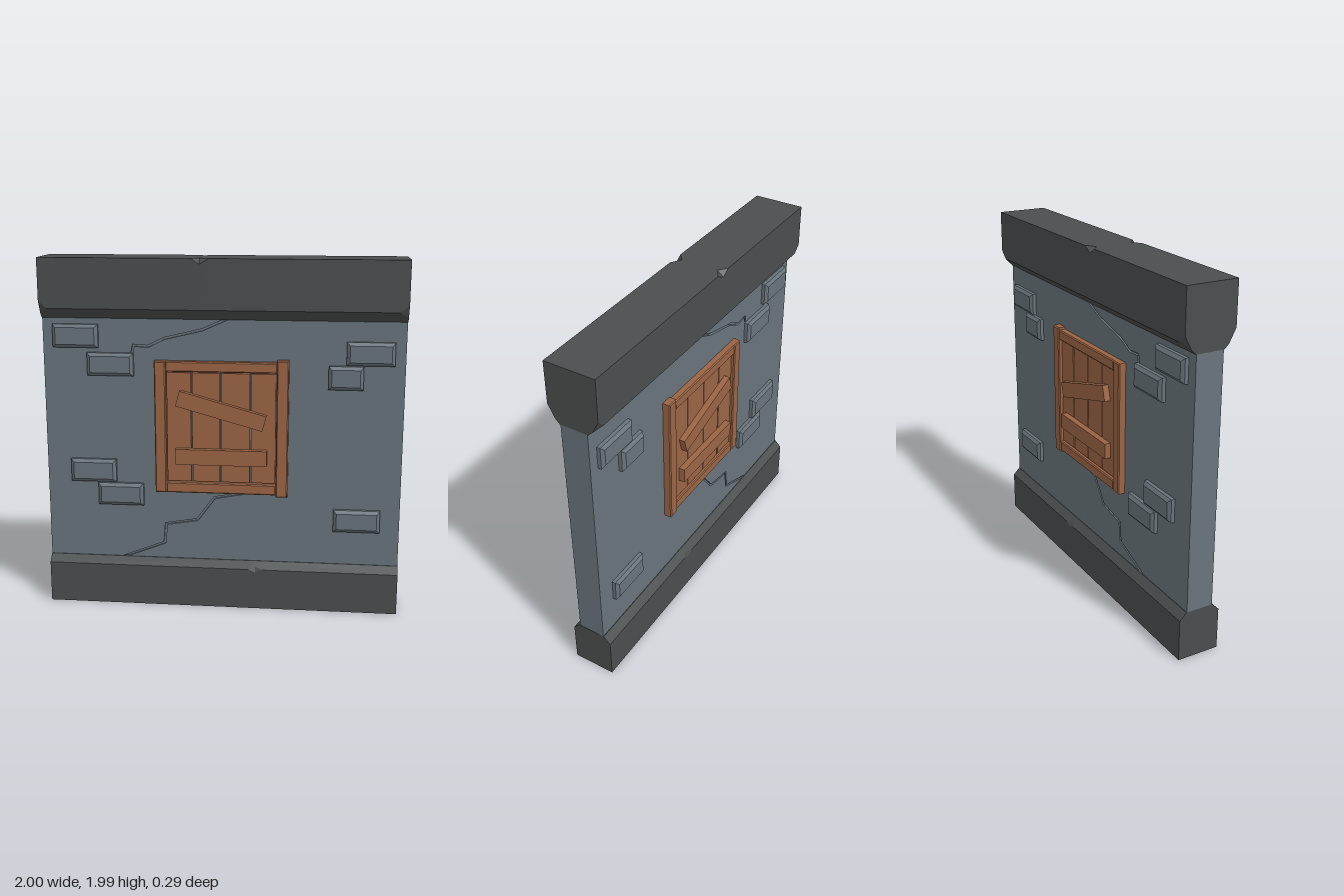
import * as THREE from 'three';
import { ConvexGeometry } from 'three/addons/geometries/ConvexGeometry.js';

const mat = (name, color, side = THREE.FrontSide) => {
  const m = new THREE.MeshStandardMaterial({ color, side });
  m.name = name;
  return m;
};

export function createModel() {
  const model = new THREE.Group();
  model.name = 'boardedWindowWall';
  const wallStone = mat('blueGreyStone', 0x68747b);
  const darkStone = mat('darkStone', 0x4a4e4e, THREE.DoubleSide);
  const wood = mat('wood', 0x9b6444);

  const add = (parent, name, geometry, material) => {
    const mesh = new THREE.Mesh(geometry, material);
    mesh.name = name;
    parent.add(mesh);
    return mesh;
  };
  const group = (name) => {
    const g = new THREE.Group();
    g.name = name;
    model.add(g);
    return g;
  };

  // Convex solid from corner points, optionally leaving out some faces
  const hull = (points, drop) => {
    const geo = new ConvexGeometry(points.map((p) => new THREE.Vector3(...p)));
    if (!drop) return geo;
    const p = geo.attributes.position;
    const kept = [];
    for (let i = 0; i < p.count; i += 3) {
      const tri = [0, 1, 2].map((k) => new THREE.Vector3().fromBufferAttribute(p, i + k));
      if (!tri.every(drop)) kept.push(...tri);
    }
    const open = new THREE.BufferGeometry().setFromPoints(kept);
    open.computeVertexNormals();
    return open;
  };

  // Block standing on the wall face, with its front edges bevelled
  const bevelBlock = (x0, x1, y0, y1, z, inset, depth, side) => {
    const pts = [];
    for (const [d, zz] of [[0, 0.07], [0, z - depth], [inset, z]])
      for (const x of [x0 + d, x1 - d])
        for (const y of [y0 + d, y1 - d]) pts.push([x, y, zz * side]);
    return hull(pts);
  };

  // Outline of a crack: a narrow band along a polyline
  const crackPath = (pts, half) => {
    const v = pts.map((p) => new THREE.Vector2(...p));
    const a = [], b = [];
    v.forEach((p, i) => {
      const normal = (s, e) => {
        const d = e.clone().sub(s).normalize();
        return new THREE.Vector2(-d.y, d.x);
      };
      const n0 = normal(v[Math.max(i - 1, 0)], v[Math.max(i, 1)]);
      const n1 = normal(v[Math.min(i, v.length - 2)], v[Math.min(i + 1, v.length - 1)]);
      const n = n0.clone().add(n1).normalize();
      n.multiplyScalar(half / Math.max(n.dot(n0), 0.5));
      a.push(p.clone().add(n));
      b.unshift(p.clone().sub(n));
    });
    return new THREE.Path([...a, ...b]);
  };

  // Wall: a core with a cut skin on each face, so the cracks are grooves
  const wall = group('wall');
  const core = add(wall, 'wallCore', new THREE.BoxGeometry(1.998, 1.45, 0.126), wallStone);
  core.position.y = 0.975;
  const skin = new THREE.Shape([[-0.999, 0.25], [0.999, 0.25], [0.999, 1.7], [-0.999, 1.7]]
    .map((p) => new THREE.Vector2(...p)));
  skin.holes.push(
    crackPath([[0.07, 1.68], [-0.11, 1.6], [-0.32, 1.55], [-0.41, 1.505], [-0.49, 1.51], [-0.505, 1.45]], 0.006),
    crackPath([[0.22, 0.7], [0.15, 0.68], [-0.04, 0.645], [-0.14, 0.51], [-0.32, 0.48], [-0.33, 0.365], [-0.6, 0.26]], 0.006),
  );
  const skinGeo = new THREE.ExtrudeGeometry(skin, { depth: 0.015, bevelEnabled: false });
  add(wall, 'frontSkin', skinGeo, wallStone).position.z = 0.062;
  add(wall, 'backSkin', skinGeo, wallStone).position.z = -0.077;

  // Top beam: two halves meeting at the chipped upper edges
  const beam = group('topBeam');
  const split = -0.115;
  for (const end of [-1, 1]) {
    const chipX = end < 0 ? -0.16 : -0.06;
    const pts = [];
    for (const s of [-1, 1]) {
      const z = 0.143 * s;
      pts.push(
        [end, 1.99, z], [chipX, 1.99, z], [split, 1.96, z], [split, 1.99, 0.105 * s],
        [split, 1.715, z], [split, 1.658, 0.08 * s], [end, 1.658, 0.08 * s],
        [end, 1.755, z], [end * 0.955, 1.715, z], [end, 1.682, 0.105 * s],
      );
    }
    add(beam, end < 0 ? 'beamRight' : 'beamLeft',
      hull(pts, (v) => Math.abs(v.x - split) < 1e-4), darkStone);
  }

  // Base: open underneath, chipped along the bevel
  const base = group('base');
  const baseSplit = 0.195;
  for (const end of [-1, 1]) {
    const pts = [];
    for (const s of [-1, 1]) {
      const z = 0.12 * s;
      pts.push(
        [end, 0, z], [baseSplit, 0, z], [end, 0.235, z], [baseSplit + end * 0.04, 0.235, z],
        [baseSplit, 0.218, z], [baseSplit, 0.25, 0.105 * s],
        [baseSplit, 0.275, 0.08 * s], [end, 0.275, 0.08 * s],
      );
    }
    add(base, end < 0 ? 'baseRight' : 'baseLeft',
      hull(pts, (v) => v.y < 1e-4)
        , darkStone);
  }

  // Raised bricks: x0, x1, y0, y1
  const bricks = [
    [-0.94, -0.685, 1.495, 1.625], [-0.75, -0.49, 1.34, 1.468],
    [-0.86, -0.6, 0.727, 0.858], [-0.705, -0.445, 0.592, 0.72],
    [0.68, 0.94, 1.42, 1.548], [0.585, 0.775, 1.285, 1.415], [0.63, 0.89, 0.473, 0.6],
  ];
  // Window frame bars: name, x0, x1, y0, y1, front z
  const bars = [
    ['frameRightPost', -0.372, -0.308, 0.68, 1.43, 0.118],
    ['frameLeftPost', 0.306, 0.372, 0.67, 1.443, 0.12],
    ['frameTopRail', -0.31, 0.308, 1.372, 1.43, 0.115],
    ['frameBottomRail', -0.31, 0.308, 0.68, 0.74, 0.115],
  ];
  const boardEdges = [-0.308, -0.165, -0.003, 0.163, 0.306];

  for (const side of [1, -1]) {
    const label = side > 0 ? 'front' : 'back';
    const brickGroup = group(label + 'Bricks');
    for (const b of bricks)
      add(brickGroup, 'brick', bevelBlock(...b, 0.111, 0.018, 0.014, side), wallStone);

    const win = group(label + 'Window');
    for (const [name, ...dims] of bars)
      add(win, name, bevelBlock(...dims, 0.006, 0.006, side), wood);

    // Upright boards with narrow gaps
    for (let i = 0; i < 4; i++) {
      const x0 = boardEdges[i] + 0.004, x1 = boardEdges[i + 1] - 0.004;
      const board = add(win, 'uprightBoard', new THREE.BoxGeometry(x1 - x0, 0.62, 0.03), wood);
      board.position.set((x0 + x1) / 2, 1.056, 0.085 * side);
    }

    // Nailed planks across the boards
    for (const [name, len, y, tilt] of [['slantedPlank', 0.5, 1.16, -0.27], ['levelPlank', 0.51, 0.894, 0]]) {
      const plank = add(win, name, new THREE.BoxGeometry(len, 0.088, 0.04), wood);
      plank.position.set(0, y, 0.115 * side);
      plank.rotation.z = tilt;
    }
  }
  return model;
}
